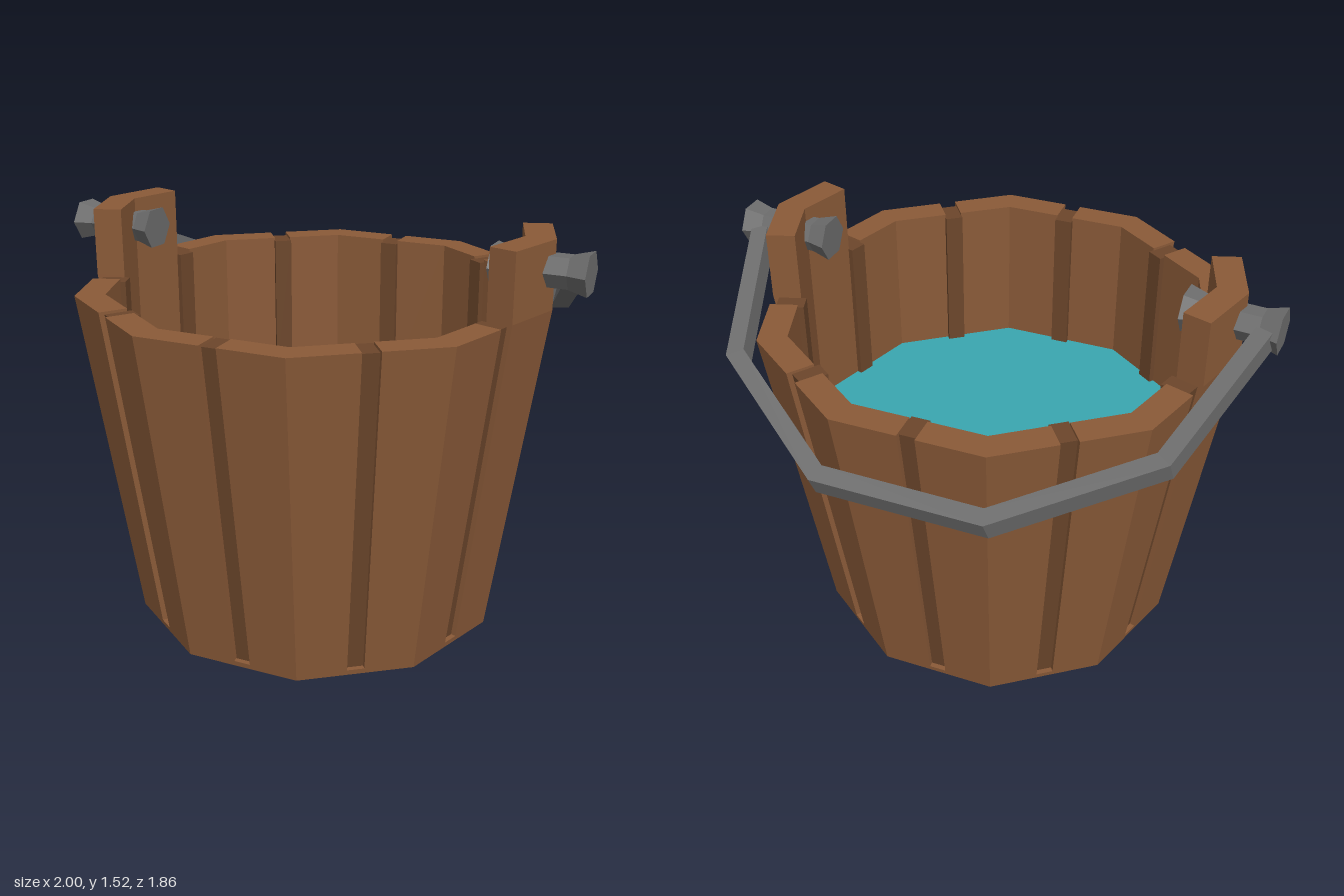
import * as THREE from 'three';

const SIDES = 10, HALF = Math.PI / SIDES;
const CENTER_Z = 0.033, RIM_Y = 1.275, WATER_Y = 0.68, LUG_Y = 1.525;
const BOTTOM_R = 0.7, TOP_R = 0.89, INNER_R = 0.78;

const paint = (color) => new THREE.MeshStandardMaterial({ color, flatShading: true });
const v = (x, y, z) => new THREE.Vector3(x, y, z);
const outerR = (y) => BOTTOM_R + (TOP_R - BOTTOM_R) * Math.min(y / RIM_Y, 1);
const innerR = (y) => (y < WATER_Y ? 0.6 + (INNER_R - 0.6) * (y / WATER_Y) : INNER_R);

// Skin through matching cross-sections; each runs along one side and back along the other
function loft(sections) {
  const pos = [];
  const quad = (a, b, c, d) => [a, b, c, a, c, d].forEach((p) => pos.push(p.x, p.y, p.z));
  const n = sections[0].length;
  for (let s = 0; s + 1 < sections.length; s++) {
    const a = sections[s], b = sections[s + 1];
    for (let j = 0; j < n; j++) {
      const k = (j + 1) % n;
      quad(a[j], a[k], b[k], b[j]);
    }
  }
  const first = sections[0], last = sections[sections.length - 1];
  for (let j = 0; j < n / 2 - 1; j++) {
    quad(last[j], last[j + 1], last[n - 2 - j], last[n - 1 - j]);
    quad(first[n - 1 - j], first[n - 2 - j], first[j + 1], first[j]);
  }
  const geo = new THREE.BufferGeometry();
  geo.setAttribute('position', new THREE.Float32BufferAttribute(pos, 3));
  geo.computeVertexNormals();
  return geo;
}

// Plan of a bent stave around a decagon corner, stopping short of the face middles
function staveSection(y) {
  const gap = 0.032;
  const end = (r, side) => {
    const a = r * Math.cos(HALF);
    return v(side * (a * Math.sin(HALF) - gap * Math.cos(HALF)), y, a * Math.cos(HALF) + gap * Math.sin(HALF));
  };
  const ro = outerR(y), ri = innerR(y);
  return [end(ro, -1), v(0, y, ro), end(ro, 1), end(ri, 1), v(0, y, ri), end(ri, -1)];
}

// Plan of the narrow filler strip between two staves
function stripSection(y) {
  const w = 0.034, c = Math.cos(HALF);
  const o = outerR(y) * c - 0.02, i = innerR(y) * c - 0.02;
  return [v(-w, y, o), v(w, y, o), v(w, y, i), v(-w, y, i)];
}

// Square bar swept along a tilted path with mitred corners
function barGeometry(path, up, halfW, halfH) {
  const sections = path.map((p, i) => {
    const before = i > 0 ? p.clone().sub(path[i - 1]).normalize() : null;
    const after = i < path.length - 1 ? path[i + 1].clone().sub(p).normalize() : null;
    const t = v(0, 0, 0).add(before || after).add(after || before).normalize();
    const m = up.clone().cross(t).normalize().multiplyScalar(halfW / t.dot(before || after));
    const h = up.clone().multiplyScalar(halfH);
    return [[-1, -1], [1, -1], [1, 1], [-1, 1]].map(([a, b]) =>
      p.clone().addScaledVector(m, a).addScaledVector(h, b));
  });
  return loft(sections);
}

export function createModel() {
  const model = new THREE.Group();
  model.name = 'bucket';
  const wood = paint(0x8a5a38), darkWood = paint(0x6c462b);
  const metal = paint(0x6c6c6c), teal = paint(0x3aa6b0);
  const add = (parent, name, geo, mat) => {
    const mesh = new THREE.Mesh(geo, mat);
    mesh.name = name;
    parent.add(mesh);
    return mesh;
  };

  const tub = new THREE.Group();
  tub.name = 'tub';
  tub.position.z = CENTER_Z;
  model.add(tub);

  // Base
  const base = new THREE.CylinderGeometry(outerR(0.02), BOTTOM_R, 0.02, SIDES);
  add(tub, 'base', base.translate(0, 0.01, 0), wood);

  // Staves, two of them raised as lugs, with filler strips between
  const levels = [0.02, WATER_Y, RIM_Y];
  const plain = loft(levels.map(staveSection));
  const tall = loft([...levels, LUG_Y].map(staveSection));
  const strip = loft([0.02, WATER_Y, 1.265].map(stripSection));
  for (let i = 0; i < SIDES; i++) {
    const isLug = i === 3 || i === 8;
    add(tub, isLug ? 'lugStave' : 'stave', isLug ? tall : plain, wood).rotation.y = i * 2 * HALF;
    add(tub, 'fillerStrip', strip, darkWood).rotation.y = (i * 2 + 1) * HALF;
  }

  // Water surface
  const water = new THREE.CircleGeometry(INNER_R, SIDES, Math.PI / 2).rotateX(-Math.PI / 2);
  add(tub, 'water', water, teal).position.y = WATER_Y;

  // Flared hexagonal pins through the lugs
  const L = 0.172;
  const profile = [[0, -L], [0.083, -L], [0.063, -L + 0.07], [0.063, L - 0.07], [0.083, L], [0, L]];
  const pinGeo = new THREE.LatheGeometry(profile.map(([r, y]) => new THREE.Vector2(r, y)), 6);
  pinGeo.rotateZ(-Math.PI / 2);
  for (const [name, x, z, angle] of [['leftPin', 0.81, -0.218, 16], ['rightPin', -0.815, 0.285, 13]]) {
    const pin = add(model, name, pinGeo, metal);
    pin.position.set(x, 1.42, z);
    pin.rotation.y = THREE.MathUtils.degToRad(angle);
  }

  // Handle hanging behind the tub
  const path = [
    v(0.92, 1.415, -0.26), v(0.6, 1.18, -0.715), v(0.03, 1.035, -0.895),
    v(-0.55, 1.04, -0.72), v(-0.92, 1.18, -0.265), v(-0.945, 1.42, 0.3),
  ];
  add(model, 'handle', barGeometry(path, v(0, 0.93, -0.37).normalize(), 0.032, 0.038), metal);

  return model;
}
